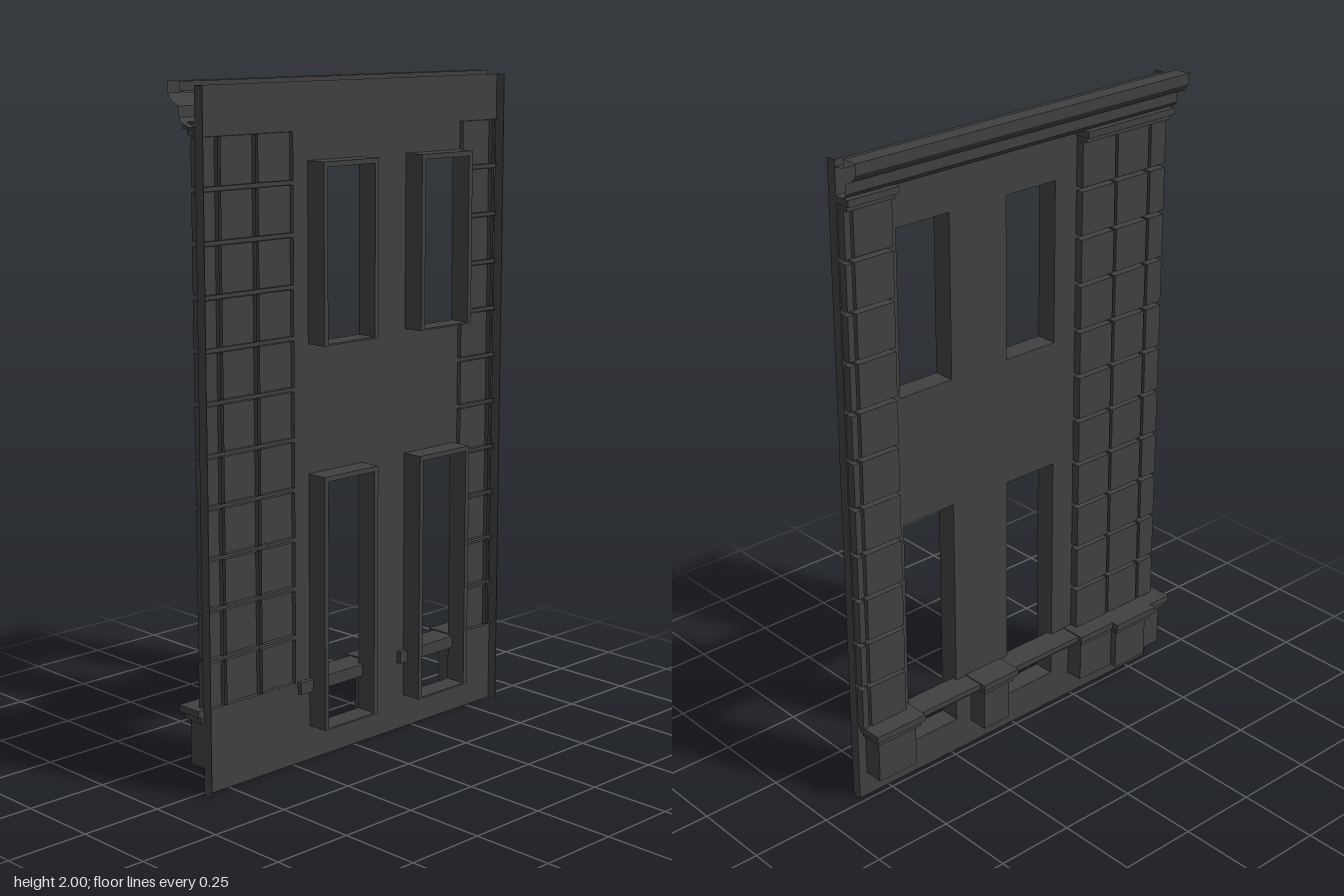
import * as THREE from 'three';

const material = new THREE.MeshStandardMaterial({ color: 0x404040, side: THREE.DoubleSide, flatShading: true });
const WALL_X = 0.018;

function add(parent, name, geometry) {
  const mesh = new THREE.Mesh(geometry, material);
  mesh.name = name;
  parent.add(mesh);
  return mesh;
}

// Box given by its limits on each axis
function box(parent, name, x0, x1, y0, y1, z0, z1, openBack = false) {
  const g = new THREE.BoxGeometry(x1 - x0, y1 - y0, z1 - z0);
  if (openBack) { // leave out the +x face
    g.setIndex(Array.from(g.index.array).slice(6));
    g.clearGroups();
  }
  g.translate((x0 + x1) / 2, (y0 + y1) / 2, (z0 + z1) / 2);
  return add(parent, name, g);
}

// Rectangle in the (z, y) plane
function rect(Type, z0, z1, y0, y1) {
  const s = new Type();
  s.moveTo(z0, y0);
  s.lineTo(z1, y0);
  s.lineTo(z1, y1);
  s.lineTo(z0, y1);
  s.closePath();
  return s;
}

// Open-ended moulding: (x, y) profile swept along z
function moulding(parent, name, profile, z0, z1) {
  const pos = [], idx = [];
  profile.forEach(([x, y], i) => {
    pos.push(x, y, z0, x, y, z1);
    if (i) {
      const a = 2 * i - 2;
      idx.push(a, a + 1, a + 2, a + 1, a + 3, a + 2);
    }
  });
  const g = new THREE.BufferGeometry();
  g.setAttribute('position', new THREE.Float32BufferAttribute(pos, 3));
  g.setIndex(idx);
  const flat = g.toNonIndexed();
  flat.computeVertexNormals();
  return add(parent, name, flat);
}

// Pedestal with a two-step cap
function pedestal(parent, z0, z1, body, cap) {
  const p = new THREE.Group();
  p.name = 'pedestal';
  parent.add(p);
  const mid = (body + cap) / 2;
  box(p, 'pedestalBody', body, WALL_X, 0.08, 0.22, z0 + 0.02, z1 - 0.02);
  box(p, 'pedestalMoulding', mid, WALL_X, 0.215, 0.235, z0 + 0.01, z1 - 0.01);
  box(p, 'pedestalCap', cap, WALL_X, 0.235, 0.255, z0, z1);
}

export function createModel() {
  const model = new THREE.Group();
  model.name = 'facade';

  // Wall sheet with four window openings
  const windows = [];
  for (const [z0, z1] of [[-0.035, 0.182], [-0.43, -0.213]]) {
    for (const [y0, y1] of [[0.105, 0.87], [1.25, 1.77]]) windows.push([z0, z1, y0, y1]);
  }
  const hole = ([z0, z1, y0, y1]) => rect(THREE.Path, z0 + 0.015, z1 - 0.015, y0 + 0.005, y1 - 0.015);
  const wallShape = rect(THREE.Shape, -0.61, 0.59, 0, 1.99);
  wallShape.holes = windows.map(hole);
  add(model, 'wall', new THREE.ShapeGeometry(wallShape).rotateY(-Math.PI / 2).translate(WALL_X, 0, 0));

  // Return flanges at both ends of the wall
  for (const z of [-0.61, 0.588]) box(model, 'wallFlange', 0.016, 0.048, 0, 1.99, z, z + 0.002);

  // Deep window reveals behind the wall
  for (const w of windows) {
    const s = rect(THREE.Shape, ...w);
    s.holes.push(hole(w));
    const g = new THREE.ExtrudeGeometry(s, { depth: 0.085 - WALL_X, bevelEnabled: false });
    add(model, 'windowReveal', g.rotateY(-Math.PI / 2).translate(0.085, 0, 0));
  }

  // Rusticated block strips, open at the back
  const strips = new THREE.Group();
  strips.name = 'blockStrips';
  model.add(strips);
  const columns = [[0.525, 0.585], [0.39, 0.515], [0.25, 0.38], [-0.575, -0.445], [-0.605, -0.585]];
  const pitch = 0.1465, rows = 11;
  for (const [z0, z1] of columns) {
    for (let r = 0; r < rows; r++) {
      const y = 0.255 + r * pitch;
      box(strips, 'block', -0.008, 0.033, y, y + pitch - 0.013, z0, z1, true);
    }
  }

  // Capital mouldings over the strips
  for (const [z0, z1] of [[0.25, 0.585], [-0.605, -0.445]]) {
    box(model, 'capitalNeck', -0.022, WALL_X, 1.857, 1.875, z0, z1);
    box(model, 'capital', -0.035, WALL_X, 1.873, 1.893, z0 - 0.005, z1 + 0.005);
  }

  // Crowning cornice
  moulding(model, 'cornice', [
    [0.018, 1.97], [-0.02, 1.975], [-0.02, 2], [-0.07, 2], [-0.07, 1.968], [-0.06, 1.955],
    [-0.05, 1.945], [-0.025, 1.935], [-0.025, 1.905], [-0.012, 1.89], [0.018, 1.88],
  ], -0.61, 0.61);

  // Pedestals along the foot, the last one with a projecting centre
  pedestal(model, -0.6, -0.42, -0.045, -0.068);
  pedestal(model, -0.19, -0.05, -0.045, -0.068);
  pedestal(model, 0.22, 0.61, -0.04, -0.065);
  pedestal(model, 0.355, 0.525, -0.062, -0.088);

  // Rails crossing the lower windows
  for (const [z0, z1] of [[-0.06, 0.23], [-0.45, -0.185]]) {
    box(model, 'windowRail', -0.03, 0.035, 0.215, 0.252, z0, z1);
    box(model, 'railLip', -0.05, -0.02, 0.235, 0.252, z0, z1);
  }
  return model;
}
